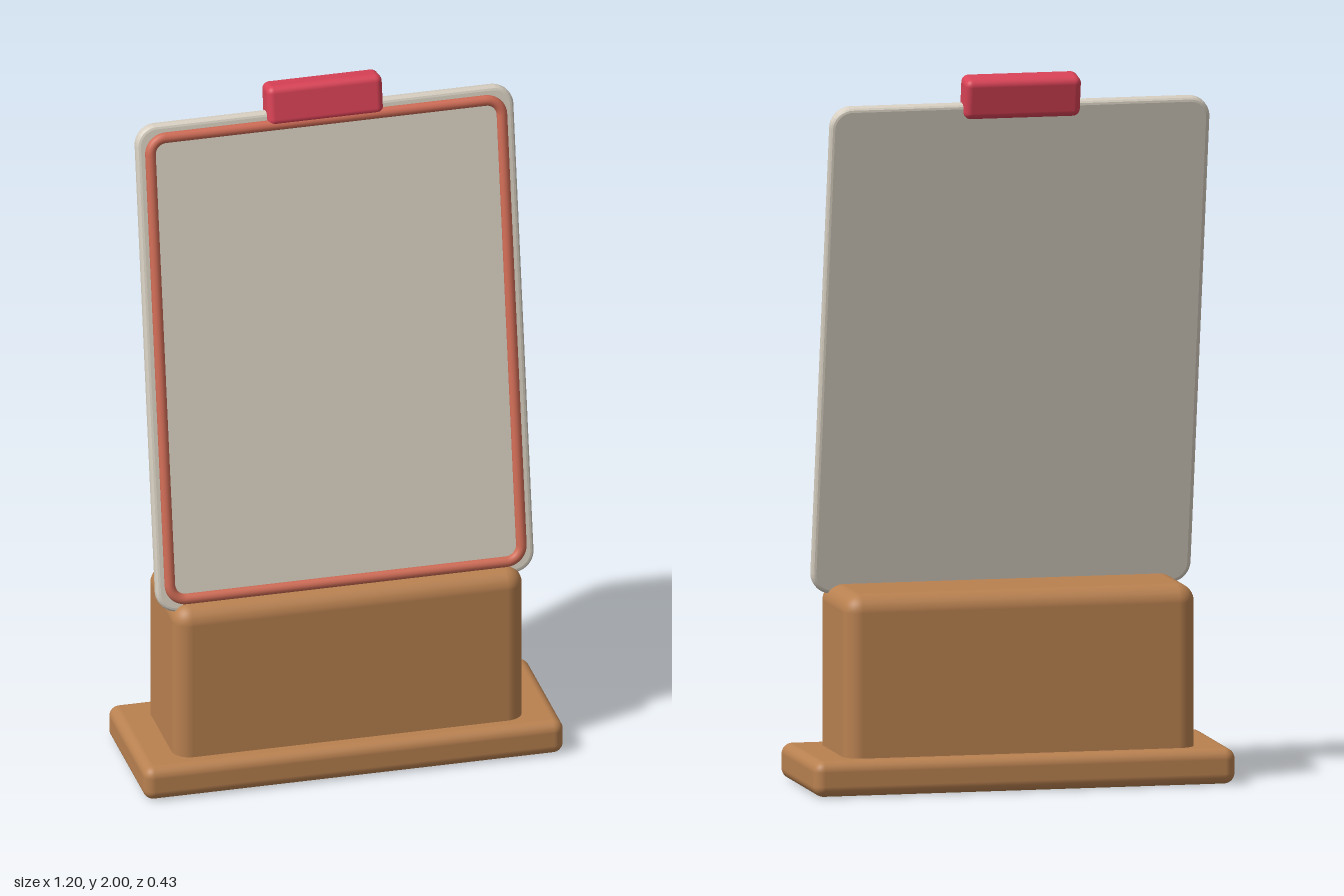
import * as THREE from 'three';
import { RoundedBoxGeometry } from 'three/addons/geometries/RoundedBoxGeometry.js';
import { toCreasedNormals, mergeGeometries } from 'three/addons/utils/BufferGeometryUtils.js';

const material = (name, color) => {
  const m = new THREE.MeshStandardMaterial({ color });
  m.name = name;
  return m;
};

function roundedRect(w, h, r) {
  const x = w / 2 - r, y = h / 2 - r;
  const s = new THREE.Shape();
  s.absarc(x, y, r, 0, Math.PI / 2);
  s.absarc(-x, y, r, Math.PI / 2, Math.PI);
  s.absarc(-x, -y, r, Math.PI, Math.PI * 1.5);
  s.absarc(x, -y, r, Math.PI * 1.5, Math.PI * 2);
  s.closePath();
  return s;
}

// Thin slab with rounded corners and softened edges
function slabGeometry(w, h, depth, r, bevel) {
  const geo = new THREE.ExtrudeGeometry(roundedRect(w - 2 * bevel, h - 2 * bevel, r - bevel), {
    depth: depth - 2 * bevel, bevelEnabled: true, bevelSize: bevel,
    bevelThickness: bevel, bevelSegments: 3, curveSegments: 12,
  });
  geo.translate(0, 0, -(depth - 2 * bevel) / 2);
  return toCreasedNormals(geo, 0.2);
}

// Round rod bent into a rounded rectangle; w and h are measured on its centre line
function rodFrameGeometry(w, h, r, rod) {
  const parts = [];
  const x = w / 2, y = h / 2;
  for (const s of [-1, 1]) {
    parts.push(new THREE.CylinderGeometry(rod, rod, h - 2 * r, 16, 1, true).translate(s * x, 0, 0));
    parts.push(new THREE.CylinderGeometry(rod, rod, w - 2 * r, 16, 1, true).rotateZ(Math.PI / 2).translate(0, s * y, 0));
  }
  [[1, 1], [-1, 1], [-1, -1], [1, -1]].forEach(([sx, sy], i) => {
    parts.push(new THREE.TorusGeometry(r, rod, 16, 10, Math.PI / 2)
      .rotateZ(i * Math.PI / 2).translate(sx * (x - r), sy * (y - r), 0));
  });
  return mergeGeometries(parts);
}

export function createModel() {
  const wood = material('wood', 0xb98150);
  const cream = material('cream board', 0xd8d0c2);
  const coral = material('coral rim', 0xcf6c56);
  const red = material('red clip', 0xd94256);

  const model = new THREE.Group();
  model.name = 'tiltedBoardStand';
  const add = (parent, name, geo, mat, x, y, z) => {
    const mesh = new THREE.Mesh(geo, mat);
    mesh.name = name;
    mesh.position.set(x, y, z);
    parent.add(mesh);
  };

  // Wooden stand
  add(model, 'plinth', new RoundedBoxGeometry(1.2, 0.1, 0.43, 5, 0.03), wood, 0, 0.05, 0);
  add(model, 'block', new RoundedBoxGeometry(1, 0.525, 0.33, 6, 0.05), wood, 0, 0.2925, 0);

  // Everything on the board leans back together
  const board = new THREE.Group();
  board.name = 'tiltedBoard';
  board.position.set(0, 1.225, -0.022);
  board.rotation.x = -THREE.MathUtils.degToRad(10);
  model.add(board);

  add(board, 'panel', slabGeometry(1.08, 1.415, 0.036, 0.06, 0.012), cream, 0, 0, 0);
  add(board, 'rim', rodFrameGeometry(1.005, 1.34, 0.045, 0.015), coral, 0, 0, 0.021);
  add(board, 'topClip', new RoundedBoxGeometry(0.33, 0.115, 0.08, 5, 0.02), red, 0, 0.726, -0.002);

  return model;
}
